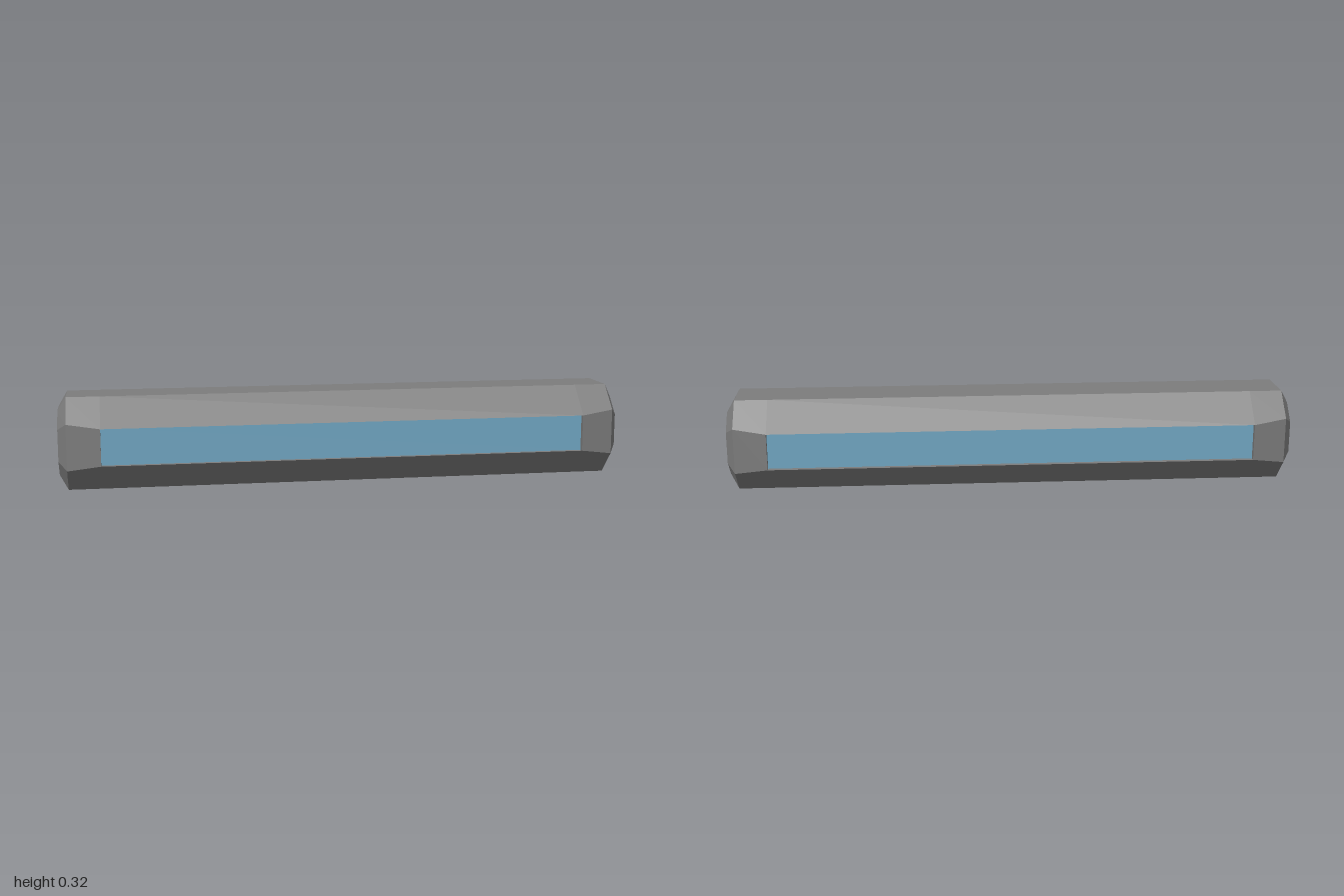
import * as THREE from 'three';

const MID = 0.1625; // height of the bar's axis

// Octagonal ring of points at x: half depth w, half height h, half flat width c, half side height s
function ring(x, w, h, c, s) {
  return [[h, -c], [h, c], [s, w], [-s, w], [-h, c], [-h, -c], [-s, -w], [s, -w]]
    .map(([y, z]) => new THREE.Vector3(x, MID + y, z));
}

// Outer shell ring: the 45 degree bevels run out until half depth w
const shell = (x, w) => ring(x, w, MID, 0.08, MID - (w - 0.08));
const rim = (x) => ring(x, 0.1135, 0.1125, 0.057, 0.0555);

function facets(quads) {
  const pos = [];
  for (const [a, b, c, d] of quads) {
    for (const p of [a, b, c, a, c, d]) pos.push(p.x, p.y, p.z);
  }
  const g = new THREE.BufferGeometry();
  g.setAttribute('position', new THREE.Float32BufferAttribute(pos, 3));
  g.computeVertexNormals();
  return g;
}

export function createModel() {
  const grey = new THREE.MeshStandardMaterial({ color: 0x7c7c7c });
  grey.name = 'grey casing';
  const blue = new THREE.MeshStandardMaterial({ color: 0x70a6c2 });
  blue.name = 'blue panel';

  const group = new THREE.Group();
  const add = (name, geometry, material) => {
    const mesh = new THREE.Mesh(geometry, material);
    mesh.name = name;
    group.add(mesh);
    return mesh;
  };

  // Casing: end recess, bevelled rim, flaring sides, then the same mirrored
  const rings = [
    rim(-0.97), rim(-1), shell(-0.97, 0.162), shell(-0.855, 0.178),
    shell(0.855, 0.178), shell(0.97, 0.162), rim(1), rim(0.97),
  ];
  const quads = [];
  for (let r = 0; r < rings.length - 1; r++) {
    for (let i = 0; i < 8; i++) {
      if (r === 3 && (i === 2 || i === 6)) continue; // window openings
      const j = (i + 1) % 8;
      quads.push([rings[r][i], rings[r][j], rings[r + 1][j], rings[r + 1][i]]);
    }
  }
  add('casing', facets(quads), grey);

  // Sunken end plates
  for (const [name, loop] of [['rightEndPlate', [...rings[0]].reverse()], ['leftEndPlate', rings[7]]]) {
    const plate = [];
    for (let i = 1; i < 7; i += 2) plate.push([loop[0], loop[i], loop[i + 1], loop[(i + 2) % 8]]);
    add(name, facets(plate), grey);
  }

  // Window recess and panel, front and back
  const depth = 0.018;
  for (const [side, i] of [['front', 2], ['back', 6]]) {
    const outer = [rings[3][i], rings[3][i + 1], rings[4][i + 1], rings[4][i]];
    const inner = outer.map((p) => p.clone().setZ(p.z - Math.sign(p.z) * depth));
    const walls = outer.map((p, k) => {
      const n = (k + 1) % 4;
      return [p, outer[n], inner[n], inner[k]];
    });
    add(side + 'WindowRecess', facets(walls), grey);
    add(side + 'Window', facets([inner]), blue);
  }

  return group;
}
